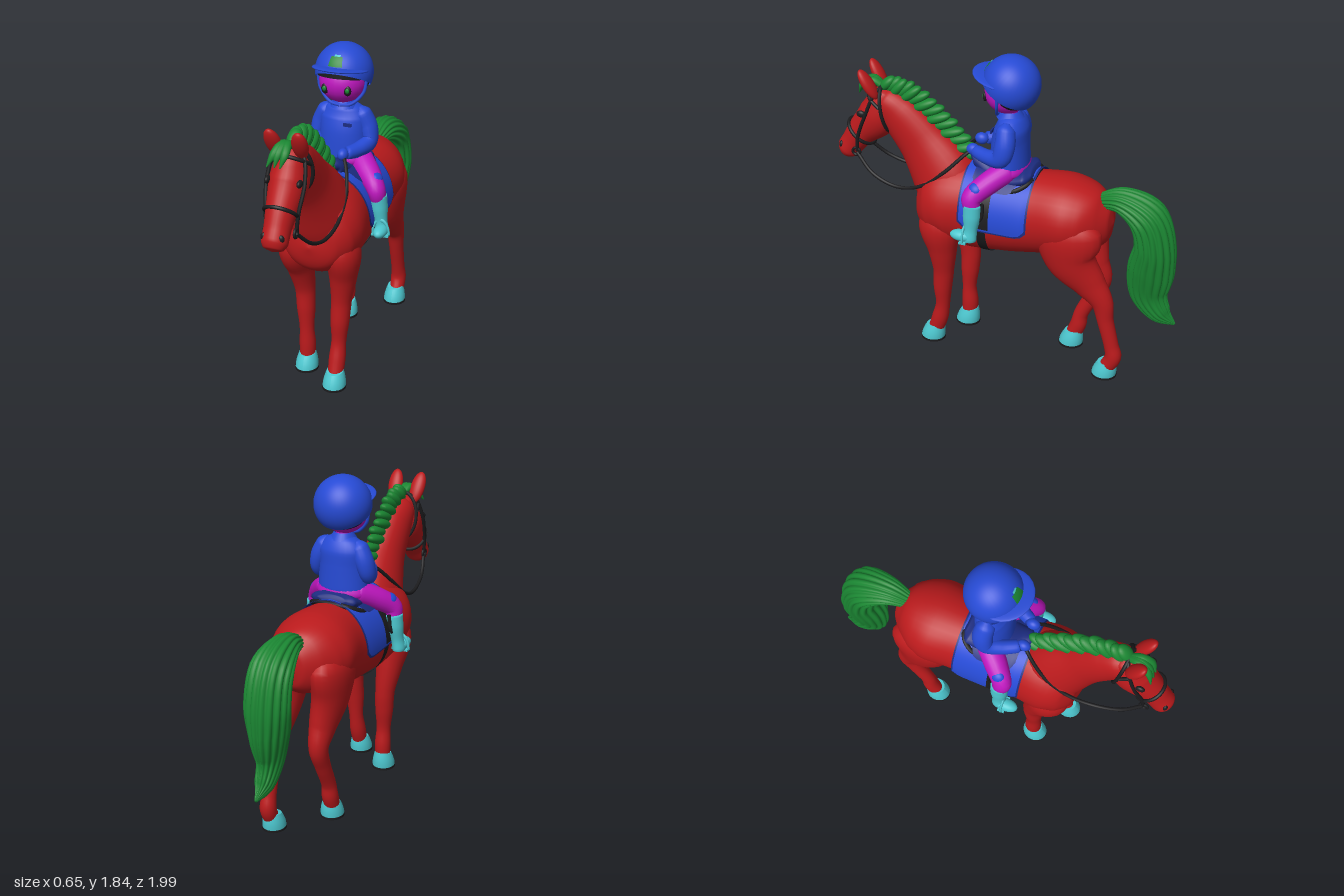
import * as THREE from 'three';

const mat = (name, color, side = THREE.FrontSide) => {
  const m = new THREE.MeshStandardMaterial({ color, side });
  m.name = name;
  return m;
};
const V = (x, y, z) => new THREE.Vector3(x, y, z);

// Smooth skin over cross-sections [x, y, z, halfWidth, halfDepth]; ribs adds lengthwise ridges
function loft(rows, sides = 24, ribs = 0) {
  const path = new THREE.CatmullRomCurve3(rows.map(r => V(r[0], r[1], r[2])));
  const size = new THREE.CatmullRomCurve3(rows.map(r => V(r[3], r[4], 0)));
  const steps = (rows.length - 1) * 6, pos = [], idx = [];
  for (let i = 0; i <= steps; i++) {
    const u = i / steps, c = path.getPoint(u), r = size.getPoint(u), t = path.getTangent(u);
    const n = t.clone().cross(V(1, 0, 0)).normalize(), s = n.clone().cross(t);
    for (let j = 0; j < sides; j++) {
      const a = j / sides * Math.PI * 2, k = ribs ? 0.9 + 0.14 * Math.abs(Math.sin(a * ribs / 2)) : 1;
      const p = c.clone().addScaledVector(s, Math.max(r.x, 0.002) * k * Math.cos(a))
        .addScaledVector(n, Math.max(r.y, 0.002) * k * Math.sin(a));
      pos.push(p.x, p.y, p.z);
      if (i < steps) {
        const A = i * sides + j, B = i * sides + (j + 1) % sides;
        idx.push(A, B, A + sides, B, B + sides, A + sides);
      }
    }
  }
  // close both ends
  for (let j = 1; j < sides - 1; j++) {
    const e = steps * sides;
    idx.push(0, j + 1, j, e, e + j, e + j + 1);
  }
  const g = new THREE.BufferGeometry();
  g.setAttribute('position', new THREE.Float32BufferAttribute(pos, 3));
  g.setIndex(idx);
  g.computeVertexNormals();
  return g;
}
const tube = (pts, r, closed = false) => new THREE.TubeGeometry(
  new THREE.CatmullRomCurve3(pts.map(p => V(...p)), closed), pts.length * 6, r, 8, closed);

export function createModel() {
  const group = new THREE.Group();
  const coat = mat('coat red', 0xba1a1c), blue = mat('jacket blue', 0x264ad4, THREE.DoubleSide);
  const navy = mat('saddle navy', 0x1c2c80, THREE.DoubleSide), green = mat('hair green', 0x1a8632, THREE.DoubleSide);
  const pink = mat('rider magenta', 0xbe16be), teal = mat('hoof teal', 0x4cc6ce);
  const black = mat('leather black', 0x1c1c1e, THREE.DoubleSide);

  const add = (name, geo, m, x = 0, y = 0, z = 0) => {
    const mesh = new THREE.Mesh(geo, m);
    mesh.name = name;
    mesh.position.set(x, y, z);
    group.add(mesh);
    return mesh;
  };
  const ball = (name, m, x, y, z, sx, sy, sz) => {
    const b = add(name, new THREE.SphereGeometry(1, 24, 16), m, x, y, z);
    b.scale.set(sx, sy, sz);
    return b;
  };

  // Horse trunk, neck and head
  add('horseBody', loft([
    [0, 0.95, -0.617, 0.01, 0.01], [0, 0.95, -0.6, 0.075, 0.1], [0, 0.95, -0.54, 0.15, 0.165],
    [0, 0.955, -0.46, 0.21, 0.2], [0, 0.955, -0.36, 0.234, 0.223], [0, 0.935, -0.2, 0.215, 0.235],
    [0, 0.905, 0, 0.213, 0.238], [0, 0.91, 0.15, 0.22, 0.26], [0, 0.92, 0.3, 0.237, 0.255],
    [0, 0.89, 0.41, 0.21, 0.215], [0, 0.88, 0.48, 0.14, 0.14], [0, 0.88, 0.514, 0.01, 0.01]], 36), coat);
  add('horseNeck', loft([
    [0, 0.9, 0.28, 0.19, 0.2], [0, 1.06, 0.35, 0.165, 0.205], [0, 1.25, 0.49, 0.11, 0.152],
    [0, 1.39, 0.615, 0.095, 0.125], [0, 1.46, 0.69, 0.085, 0.09], [0, 1.48, 0.74, 0.03, 0.03]], 28), coat);
  add('horseHead', loft([
    [0, 1.54, 0.685, 0.01, 0.01], [0, 1.52, 0.69, 0.06, 0.05], [0, 1.46, 0.71, 0.085, 0.09],
    [0, 1.36, 0.745, 0.1, 0.115], [0, 1.25, 0.845, 0.08, 0.088], [0, 1.17, 0.905, 0.069, 0.072],
    [0, 1.12, 0.94, 0.069, 0.068], [0, 1.09, 0.96, 0.05, 0.045], [0, 1.08, 0.967, 0.005, 0.005]], 28), coat);

  // Horse legs: left front forward, left rear trailing
  const leg = (name, rows, hz) => {
    const s = Math.sign(rows[0][0]);
    add(name, loft(rows, 20), coat);
    const g = new THREE.CylinderGeometry(0.046, 0.064, 0.085, 24, 4);
    const p = g.attributes.position;
    for (let i = 0; i < p.count; i++) {
      const h = p.getY(i) / 0.085, bulge = 1 + 0.3 * (0.25 - h * h);
      p.setXYZ(i, p.getX(i) * bulge, p.getY(i) - 0.2 * (h + 0.5) * p.getZ(i), p.getZ(i) * 1.1 * bulge - 0.012 * h);
    }
    g.computeVertexNormals();
    add(name + 'Hoof', g, teal, s * 0.108, 0.055, hz);
    add(name + 'Sole', new THREE.CylinderGeometry(0.066, 0.066, 0.013, 24).scale(1, 1, 1.1), black, s * 0.108, 0.0065, hz + 0.006);
  };
  const front = (s, off) => [
    [s * 0.11, 0.94, 0.35, 0.05, 0.07], [s * 0.135, 0.8, 0.345, 0.093, 0.12],
    [s * 0.13, 0.65, 0.335 + off * 0.5, 0.075, 0.085], [s * 0.12, 0.5, 0.335 + off * 0.9, 0.056, 0.06],
    [s * 0.115, 0.38, 0.345 + off, 0.052, 0.054], [s * 0.11, 0.25, 0.35 + off, 0.041, 0.041],
    [s * 0.108, 0.15, 0.37 + off * 1.3, 0.046, 0.048], [s * 0.108, 0.06, 0.4 + off * 1.65, 0.042, 0.045]];
  leg('leftFrontLeg', front(1, 0), 0.41);
  leg('rightFrontLeg', front(-1, -0.08), 0.275);
  const rear = (s, path) => [
    [s * 0.1, 1.03, -0.39, 0.05, 0.08], [s * 0.13, 0.9, -0.4, 0.1, 0.19], [s * 0.13, 0.75, -0.42, 0.09, 0.15],
    ...path.map(([y, z, w, d]) => [s * 0.115, y, z, w, d])];
  leg('leftRearLeg', rear(1, [[0.61, -0.52, 0.07, 0.1], [0.5, -0.6, 0.052, 0.064], [0.38, -0.625, 0.043, 0.047],
    [0.22, -0.665, 0.04, 0.042], [0.14, -0.68, 0.045, 0.047], [0.06, -0.645, 0.042, 0.045]]), -0.635);
  leg('rightRearLeg', rear(-1, [[0.6, -0.48, 0.07, 0.095], [0.49, -0.53, 0.052, 0.062], [0.37, -0.49, 0.043, 0.047],
    [0.22, -0.42, 0.04, 0.042], [0.14, -0.405, 0.045, 0.047], [0.06, -0.375, 0.042, 0.045]]), -0.37);

  // Tail, mane and forelock
  add('tail', loft([
    [0, 1.07, -0.53, 0.04, 0.04], [0, 1.095, -0.66, 0.08, 0.07], [0, 1.02, -0.8, 0.115, 0.105],
    [0, 0.86, -0.85, 0.12, 0.11], [0, 0.7, -0.838, 0.1, 0.127], [0, 0.53, -0.835, 0.062, 0.105],
    [0, 0.42, -0.905, 0.045, 0.068], [0, 0.365, -0.99, 0.005, 0.008]], 96, 16), green);
  const crest = new THREE.CatmullRomCurve3([V(0, 1.2, 0.24), V(0, 1.37, 0.4), V(0, 1.5, 0.56), V(0, 1.545, 0.7)]);
  for (let i = 0; i < 14; i++) {
    const u = i / 13, p = crest.getPoint(u), t = crest.getTangent(u);
    const d = V(0, t.z, -t.y).addScaledVector(t, -0.5).normalize();
    p.addScaledVector(d, 0.025);
    const k = 1 - 0.35 * Math.pow(u, 3);
    const tuft = ball('maneTuft', green, (i % 2 - 0.5) * 0.01, p.y, p.z, 0.039, 0.03, 0.09 * k);
    tuft.lookAt(p.clone().add(d));
  }
  for (const [x, e] of [[0.015, 0.0], [-0.02, -0.03], [-0.04, -0.07]])
    add('forelock', loft([[0, 1.53, 0.7, 0.02, 0.02], [x * 0.5, 1.57, 0.77, 0.024, 0.02],
      [x, 1.54, 0.825, 0.022, 0.018], [e, 1.475, 0.858, 0.003, 0.003]], 12), green);

  // Bridle bands around the head
  const hoop = (name, y, z, rx, rd, ang) => add(name, tube(Array.from({ length: 16 }, (_, i) => {
    const a = i / 8 * Math.PI, k = rd * Math.sin(a);
    return [rx * Math.cos(a), y + k * Math.sin(ang), z + k * Math.cos(ang)];
  }), 0.01, true), black);
  hoop('noseband', 1.24, 0.855, 0.084, 0.092, 0.72);
  hoop('throatLash', 1.415, 0.685, 0.102, 0.142, 1.39);
  add('browband', tube([[0.1, 1.45, 0.7], [0.078, 1.49, 0.76], [0, 1.515, 0.79], [-0.078, 1.49, 0.76], [-0.1, 1.45, 0.7]], 0.01), black);

  // Girth, saddle pad, flaps and seat; round lifts the lower corners
  const wrap = (name, m, w, h, len, z, drop, round = 0) => {
    const g = new THREE.CylinderGeometry(1, 1, len, 48, 12, true).rotateX(-Math.PI / 2);
    const p = g.attributes.position;
    for (let i = 0; i < p.count; i++) {
      const v = p.getZ(i) / len * 2, d = drop - round * Math.pow(v, 8);
      const a = (i % 49) / 48 * (Math.PI + 2 * d) - d;
      p.setXY(i, w * Math.cos(a), h * Math.sin(a));
    }
    g.computeVertexNormals();
    add(name, g, m, 0, 0.91, z);
  };
  wrap('girth', black, 0.223, 0.259, 0.055, 0.072, Math.PI / 2);
  wrap('padTrim', navy, 0.233, 0.273, 0.395, 0.005, 0.13, 0.16);
  wrap('saddlePad', blue, 0.236, 0.276, 0.375, 0.005, 0.09, 0.16);
  wrap('saddleFlap', black, 0.241, 0.281, 0.09, 0.065, 0.04);
  wrap('saddleSkirt', navy, 0.243, 0.286, 0.25, 0.02, -0.75, 0.25);
  add('saddleSeat', loft([[0, 1.2, 0.19, 0.02, 0.02], [0, 1.21, 0.17, 0.06, 0.045], [0, 1.16, 0.07, 0.09, 0.05],
    [0, 1.15, -0.06, 0.135, 0.055], [0, 1.175, -0.14, 0.135, 0.045], [0, 1.19, -0.17, 0.08, 0.02]], 24), navy);
  add('cantleEdge', tube([[0.15, 1.1, -0.04], [0.145, 1.125, -0.11], [0.1, 1.155, -0.165], [0, 1.165, -0.18],
    [-0.1, 1.155, -0.165], [-0.145, 1.125, -0.11], [-0.15, 1.1, -0.04]], 0.014), black);

  // Rider trunk, head and helmet
  add('riderHips', loft([[0, 1.14, -0.03, 0.05, 0.05], [0, 1.17, -0.03, 0.125, 0.09], [0, 1.26, -0.03, 0.125, 0.09]]), pink);
  add('riderJacket', loft([[0, 1.218, -0.025, 0.12, 0.09], [0, 1.222, -0.025, 0.142, 0.105], [0, 1.35, -0.027, 0.135, 0.1],
    [0, 1.43, -0.035, 0.135, 0.09], [0, 1.485, -0.032, 0.1, 0.066], [0, 1.515, -0.03, 0.04, 0.04]], 28), blue);
  add('riderNeck', new THREE.CylinderGeometry(0.042, 0.045, 0.1, 20), pink, 0, 1.53, -0.02);
  add('collar', new THREE.CylinderGeometry(0.05, 0.075, 0.04, 24, 1, true), blue, 0, 1.508, -0.025);
  add('chestPatch', new THREE.BoxGeometry(0.045, 0.018, 0.008), navy, 0.05, 1.41, 0.062);
  ball('riderHead', pink, 0, 1.635, -0.01, 0.128, 0.118, 0.124);
  ball('riderHair', black, 0, 1.645, -0.045, 0.138, 0.1, 0.122);
  const helmet = add('helmet', new THREE.SphereGeometry(0.157, 36, 24, 0, Math.PI * 2, 0, 1.88), blue, 0, 1.68, -0.03);
  helmet.rotation.x = -0.5;
  const lining = add('helmetLining', new THREE.CylinderGeometry(0.147, 0.142, 0.045, 32, 1, true), black, 0, 1.675, -0.03);
  lining.rotation.x = -0.2;
  const peak = ball('helmetPeak', blue, 0, 1.712, 0.03, 0.152, 0.016, 0.152);
  peak.rotation.x = -0.2;
  const badge = (name, m, phi, width, theta, height) => add(name, new THREE.SphereGeometry(
    0.16, 8, 6, Math.PI / 2 + phi, width, theta, height), m, 0, 1.68, -0.03);
  badge('helmetBadge', green, -0.27, 0.54, 0.78, 0.36);
  badge('helmetBadgeTip', teal, -0.12, 0.3, 0.71, 0.07);

  // Paired parts
  for (const s of [1, -1]) {
    const ear = ball('horseEar', coat, s * 0.07, 1.57, 0.768, 0.043, 0.095, 0.03);
    ear.rotation.set(0.52, 0, -s * 0.08);
    ball('horseEye', black, s * 0.085, 1.39, 0.815, 0.014, 0.02, 0.026);
    ball('nostril', black, s * 0.045, 1.155, 0.965, 0.018, 0.022, 0.014);
    add('cheekStrap', tube([[0, 1.56, 0.7], [s * 0.072, 1.515, 0.735], [s * 0.1, 1.39, 0.785],
      [s * 0.088, 1.25, 0.84], [s * 0.08, 1.15, 0.855]], 0.01), black);
    const ring = add('bitRing', new THREE.TorusGeometry(0.022, 0.008, 8, 20), black, s * 0.08, 1.145, 0.86);
    ring.rotation.y = Math.PI / 2;
    add('rein', tube([[s * 0.08, 1.14, 0.855], [s * 0.115, 1.045, 0.75], [s * 0.135, 1.0, 0.6], [s * 0.15, 1.04, 0.45],
      [s * 0.14, 1.15, 0.31], [s * 0.09, 1.26, 0.2], [s * 0.06, 1.285, 0.165]], 0.01), black);
    add('riderArm', loft([[s * 0.08, 1.485, -0.035, 0.02, 0.02], [s * 0.1, 1.45, -0.035, 0.05, 0.052],
      [s * 0.132, 1.38, -0.04, 0.052, 0.056], [s * 0.148, 1.305, -0.02, 0.043, 0.052], [s * 0.12, 1.285, 0.06, 0.04, 0.042],
      [s * 0.08, 1.285, 0.14, 0.034, 0.034], [s * 0.075, 1.285, 0.145, 0.01, 0.01]], 20), blue);
    ball('riderGlove', blue, s * 0.065, 1.285, 0.165, 0.03, 0.033, 0.038);
    ball('riderEye', black, s * 0.062, 1.615, 0.093, 0.022, 0.028, 0.012);
    ball('riderIris', green, s * 0.064, 1.617, 0.1, 0.012, 0.015, 0.009);
    add('chinStrap', tube([[s * 0.138, 1.66, 0.0], [s * 0.122, 1.585, 0.01], [s * 0.06, 1.52, 0.03], [0, 1.51, 0.04]], 0.009), blue);
    add('riderThigh', loft([[s * 0.06, 1.205, -0.06, 0.03, 0.03], [s * 0.09, 1.195, -0.03, 0.068, 0.064],
      [s * 0.17, 1.145, 0.05, 0.064, 0.062], [s * 0.235, 1.085, 0.112, 0.05, 0.055], [s * 0.245, 1.03, 0.108, 0.042, 0.046],
      [s * 0.247, 1.0, 0.105, 0.04, 0.04]], 20), pink);
    const patch = ball('kneePatch', blue, s * 0.234, 1.147, 0.09, 0.034, 0.02, 0.036);
    patch.rotation.z = -s * 0.75;
    add('boot', loft([[s * 0.245, 1.05, 0.105, 0.047, 0.05], [s * 0.253, 0.98, 0.105, 0.045, 0.049],
      [s * 0.265, 0.9, 0.11, 0.034, 0.038], [s * 0.272, 0.855, 0.115, 0.036, 0.042], [s * 0.272, 0.84, 0.115, 0.034, 0.04]], 20), teal);
    ball('bootFoot', teal, s * 0.278, 0.865, 0.155, 0.037, 0.032, 0.068);
    add('stirrupTread', new THREE.BoxGeometry(0.095, 0.012, 0.04), teal, s * 0.273, 0.838, 0.14);
    const iron = add('stirrupIron', new THREE.TorusGeometry(0.046, 0.007, 8, 24, Math.PI), teal, s * 0.273, 0.843, 0.14);
    iron.scale.y = 1.7;
    add('stirrupLeather', tube([[s * 0.24, 1.06, 0.05], [s * 0.248, 0.98, 0.055], [s * 0.262, 0.91, 0.11]], 0.011), black);
  }
  return group;
}
